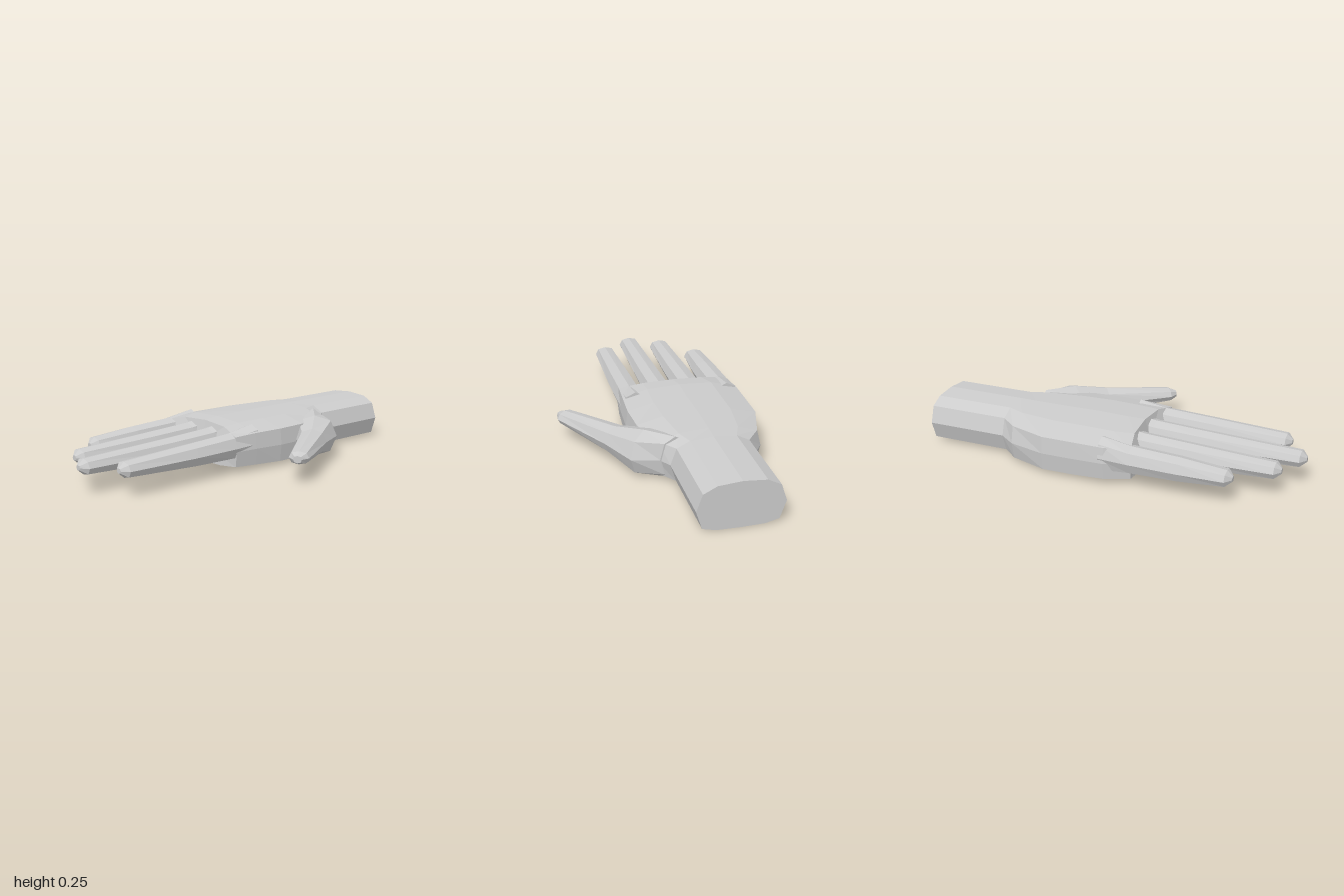
import * as THREE from 'three';

const material = new THREE.MeshStandardMaterial({ color: 0xcccccc, flatShading: true });

// Skin a list of equal-length point rings, closing both ends with fans.
function loft(name, rings) {
  const tris = [];
  const n = rings[0].length;
  for (let r = 0; r < rings.length - 1; r++) {
    for (let i = 0; i < n; i++) {
      const j = (i + 1) % n;
      const [a, b, c, d] = [rings[r][i], rings[r][j], rings[r + 1][j], rings[r + 1][i]];
      tris.push([a, b, c], [a, c, d]);
    }
  }
  const cap = (ring, flip) => {
    const mid = ring.reduce((s, p) => s.add(p), new THREE.Vector3()).divideScalar(n);
    ring.forEach((p, i) => {
      const q = ring[(i + 1) % n];
      tris.push(flip ? [mid, q, p] : [mid, p, q]);
    });
  };
  cap(rings[0], true);
  cap(rings[rings.length - 1], false);
  // Turn every face outward if the enclosed volume is negative.
  const volume = tris.reduce((s, [a, b, c]) => s + a.dot(b.clone().cross(c)), 0);
  if (volume < 0) tris.forEach((t) => t.reverse());
  const geometry = new THREE.BufferGeometry().setFromPoints(tris.flat());
  geometry.computeVertexNormals();
  const mesh = new THREE.Mesh(geometry, material);
  mesh.name = name;
  return mesh;
}

// Twelve-sided section across the arm; corner sets how square it is.
function armRing(x, zMin, zMax, yMin, yMax, corner, slant = 0) {
  const profile = [
    [1, 0.46], [corner, 0.82], [0.55, 0.96], [0, 1], [-0.55, 0.96], [-corner, 0.82],
    [-1, 0.46], [-corner, 0.08], [-0.55, 0.01], [0, 0], [0.55, 0.01], [corner, 0.08],
  ];
  return profile.map(([u, v]) => new THREE.Vector3(
    x + slant * Math.max(0, v - 0.82) / 0.18,
    yMin + v * (yMax - yMin),
    (zMin + zMax) / 2 + u * (zMax - zMin) / 2,
  ));
}

// Eight-sided finger section, centred at x, z and turned to the finger's heading.
function fingerRing(x, z, halfWidth, yMin, yMax, heading = 0) {
  const profile = [[1, 0], [0.72, 0.75], [0, 1], [-0.72, 0.75],
    [-1, 0], [-0.72, -0.75], [0, -1], [0.72, -0.75]];
  return profile.map(([u, v]) => new THREE.Vector3(
    x + u * halfWidth * Math.sin(heading),
    (yMin + yMax) / 2 + v * (yMax - yMin) / 2,
    z + u * halfWidth * Math.cos(heading),
  ));
}

export function createModel() {
  const hand = new THREE.Group();
  hand.name = 'hand';

  // Wrist
  hand.add(loft('wrist', [
    armRing(1, -0.395, 0.04, 0, 0.245, 0.86),
    armRing(0.56, -0.395, 0.04, 0, 0.245, 0.86),
  ]));

  // Palm, widening from the wrist to the knuckles
  hand.add(loft('palm', [
    armRing(0.56, -0.395, 0.04, 0, 0.245, 0.86),
    armRing(0.47, -0.46, 0.1, 0, 0.245, 0.92),
    armRing(0.27, -0.51, 0.15, 0, 0.245, 0.97),
    armRing(0.1, -0.512, 0.16, 0.003, 0.245, 0.97),
    armRing(-0.07, -0.512, 0.15, 0.012, 0.243, 0.97),
    armRing(-0.2, -0.47, 0.14, 0.02, 0.235, 0.97, 0.04),
  ]));

  // Fingers: tip x, root z, tip z
  const fingers = [
    ['indexFinger', -0.885, 0.075, 0.075],
    ['middleFinger', -1, -0.1, -0.1],
    ['ringFinger', -0.915, -0.275, -0.275],
    ['littleFinger', -0.72, -0.442, -0.445],
  ];
  for (const [name, tip, rootZ, tipZ] of fingers) {
    hand.add(loft(name, [
      fingerRing(-0.04, rootZ, 0.07, 0.05, 0.235),
      fingerRing(-0.2, rootZ, 0.073, 0.068, 0.208),
      fingerRing(-0.45, rootZ, 0.07, 0.073, 0.195),
      fingerRing(tip + 0.03, tipZ, 0.058, 0.093, 0.173),
      fingerRing(tip, tipZ, 0.016, 0.118, 0.146),
    ]));
  }

  // Thumb, angled out from the heel of the palm
  hand.add(loft('thumb', [
    fingerRing(0.5, 0.0, 0.08, 0.005, 0.235, 0.15),
    fingerRing(0.38, 0.13, 0.125, 0.0, 0.23, 0.8),
    fingerRing(0.24, 0.25, 0.078, 0.055, 0.195, 0.63),
    fingerRing(-0.063, 0.458, 0.053, 0.095, 0.163, 0.63),
    fingerRing(-0.095, 0.48, 0.022, 0.11, 0.148, 0.63),
  ]));

  return hand;
}
